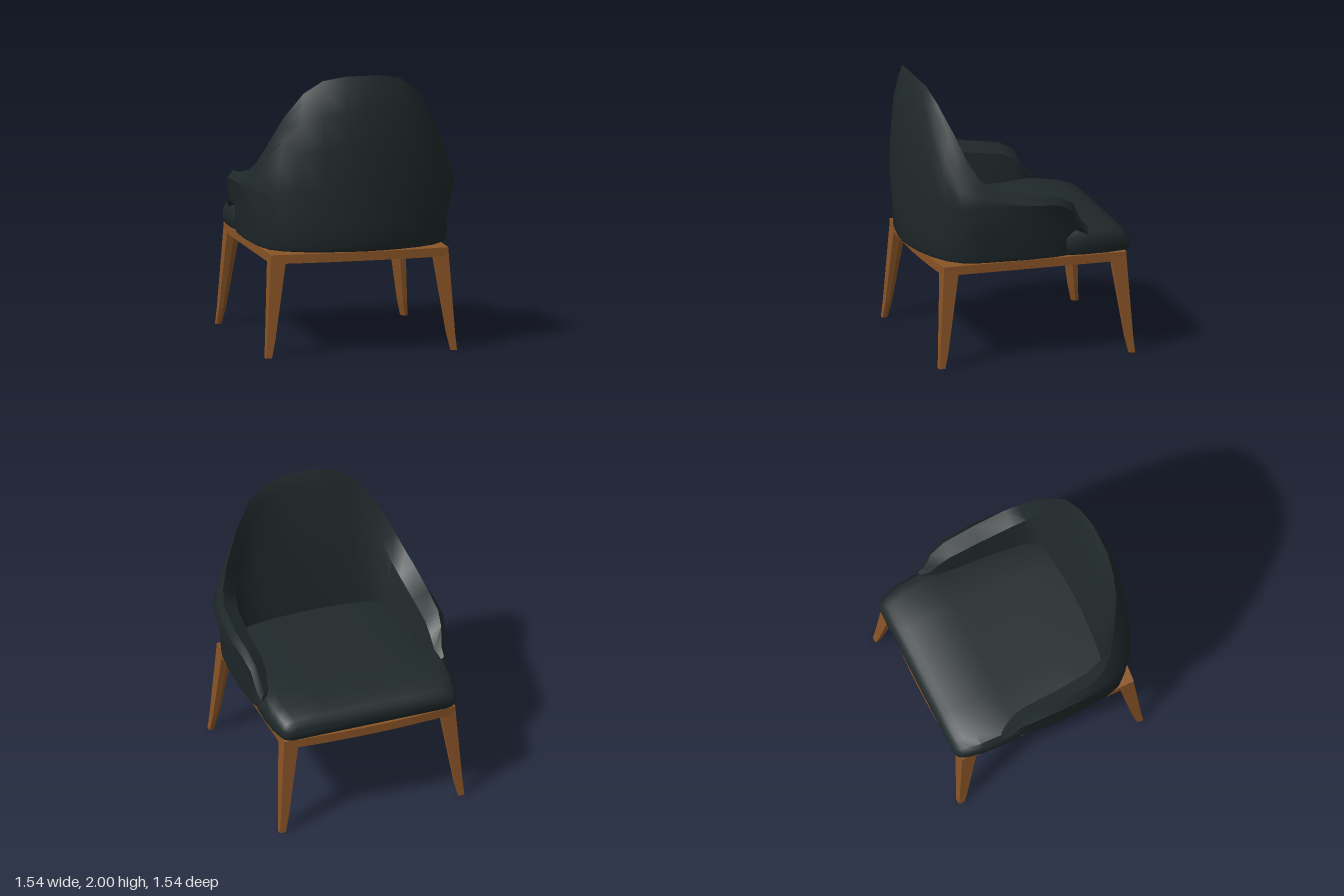
import * as THREE from 'three';
import { toCreasedNormals } from 'three/addons/utils/BufferGeometryUtils.js';

const fabric = new THREE.MeshStandardMaterial({ color: 0x20292b });
const wood = new THREE.MeshStandardMaterial({ color: 0x8b5527, flatShading: true });

// Skins a row of closed rings ([x, y, z] points), caps both ends and turns faces outward.
function loft(rings, crease) {
  const n = rings[0].length;
  const pos = rings.flat();
  const idx = [];
  for (let i = 0; i < rings.length - 1; i++) {
    for (let j = 0; j < n; j++) {
      const a = i * n + j, b = i * n + (j + 1) % n;
      idx.push(a, b, b + n, a, b + n, a + n);
    }
  }
  [0, rings.length - 1].forEach((r, end) => {
    const c = pos.length;
    pos.push([0, 1, 2].map(k => rings[r].reduce((s, p) => s + p[k], 0) / n));
    for (let j = 0; j < n; j++) {
      const a = r * n + j, b = r * n + (j + 1) % n;
      if (end) idx.push(a, b, c); else idx.push(b, a, c);
    }
  });
  const v = pos.map(p => new THREE.Vector3(...p));
  let volume = 0;
  for (let i = 0; i < idx.length; i += 3) {
    volume += v[idx[i]].dot(v[idx[i + 1]].clone().cross(v[idx[i + 2]]));
  }
  if (volume < 0) idx.reverse();
  const g = new THREE.BufferGeometry().setFromPoints(v);
  g.setIndex(idx);
  g.computeVertexNormals();
  return crease ? toCreasedNormals(g, crease) : g;
}

function addMesh(group, name, geometry, material) {
  const mesh = new THREE.Mesh(geometry, material);
  mesh.name = name;
  group.add(mesh);
}

// Half of the wrap-around shell, from arm tip to middle of the back.
const rim = [ // x, y, z of the top edge
  [0.68, 0.96, -0.42], [0.68, 1.01, -0.37], [0.70, 1.14, -0.31], [0.72, 1.2, -0.2],
  [0.73, 1.23, 0.03], [0.72, 1.29, 0.28], [0.69, 1.36, 0.37], [0.635, 1.49, 0.45],
  [0.54, 1.69, 0.53], [0.41, 1.88, 0.61], [0.28, 1.97, 0.65], [0.12, 2, 0.68], [0, 2, 0.68],
];
const girth = [ // x, z of the widest outer line
  [0.70, -0.42], [0.715, -0.36], [0.735, -0.3], [0.76, -0.2], [0.77, 0.03], [0.758, 0.28],
  [0.747, 0.4], [0.71, 0.52], [0.62, 0.615], [0.48, 0.685], [0.3, 0.735], [0.14, 0.76], [0, 0.77],
];
const lip = [ // x, y, z of the inner top edge
  [0.66, 0.94, -0.42], [0.63, 0.99, -0.36], [0.62, 1.08, -0.3], [0.62, 1.14, -0.2],
  [0.62, 1.17, 0.03], [0.61, 1.22, 0.28], [0.59, 1.28, 0.39], [0.55, 1.42, 0.48],
  [0.47, 1.6, 0.56], [0.36, 1.79, 0.61], [0.24, 1.88, 0.625], [0.1, 1.91, 0.635], [0, 1.91, 0.635],
];
const foot = [ // x, z where the inside meets the seat
  [0.65, -0.42], [0.61, -0.35], [0.6, -0.29], [0.59, -0.2], [0.58, 0.03], [0.56, 0.25],
  [0.545, 0.36], [0.52, 0.42], [0.46, 0.455], [0.34, 0.47], [0.22, 0.48], [0.1, 0.488], [0, 0.49],
];

function shellRing(i) {
  const [rx, ry, rz] = rim[i], [gx, gz] = girth[i], [fx, fz] = foot[i];
  const gy = Math.min(1.17, ry - 0.05);
  const bx = gx * 0.925, bz = gz * 0.975;
  const upper = [0.4, 0.7, 0.91].map(f => [
    gx + (rx - gx) * f, gy + (ry - gy) * f, gz + (rz - gz) * f ** 4,
  ]);
  return [
    [fx, 0.745, fz], [bx * 0.95, 0.745, bz * 0.95], [bx * 0.985, 0.755, bz * 0.98],
    [bx, 0.79, bz], [bx, Math.min(0.94, gy - 0.04), bz * 1.01], [gx, gy, gz],
    ...upper, rim[i], lip[i],
    [(lip[i][0] + fx) / 2, (lip[i][1] + 0.9) / 2, (lip[i][2] + fz) / 2 + 0.01],
    [fx, 0.9, fz],
  ];
}

// Seat cross-section at depth z: half width w, underside lo, top hi.
function seatRing([z, w, lo, hi]) {
  const h = hi - lo;
  const half = [
    [w - 0.06, lo], [w - 0.015, lo + h * 0.08], [w, lo + h * 0.25], [w, lo + h * 0.65],
    [w - 0.03, lo + h * 0.87], [w - 0.1, hi - h * 0.03], [w * 0.5, hi],
  ];
  return [...half, ...half.slice().reverse().map(([x, y]) => [-x, y])].map(([x, y]) => [x, y, z]);
}

export function createModel() {
  const chair = new THREE.Group();
  chair.name = 'armchair';

  // Upholstered back and arms in one sweep
  const halfShell = rim.map((_, i) => shellRing(i));
  const otherHalf = halfShell.slice(0, -1).reverse().map(r => r.map(([x, y, z]) => [-x, y, z]));
  addMesh(chair, 'backAndArms', loft([...halfShell, ...otherHalf], 0.6), fabric);

  // Seat cushion with a rounded front edge
  const seat = [
    [-0.76, 0.6, 0.77, 0.835], [-0.745, 0.635, 0.745, 0.865], [-0.715, 0.655, 0.735, 0.89],
    [-0.67, 0.67, 0.735, 0.91], [-0.58, 0.69, 0.735, 0.935], [-0.42, 0.7, 0.738, 0.958],
    [-0.3, 0.695, 0.74, 0.957], [-0.2, 0.67, 0.742, 0.955], [0.1, 0.65, 0.745, 0.95],
    [0.35, 0.62, 0.745, 0.945], [0.52, 0.55, 0.745, 0.94],
  ];
  addMesh(chair, 'seat', loft(seat.map(seatRing), 0.7), fabric);

  // Wooden base, gently bowed at front and back
  const base = new THREE.Group();
  base.name = 'base';
  base.position.set(-0.005, 0, -0.047);
  chair.add(base);
  const outline = new THREE.Shape();
  outline.moveTo(-0.647, -0.675);
  outline.quadraticCurveTo(0, -0.735, 0.647, -0.675);
  outline.lineTo(0.647, 0.675);
  outline.quadraticCurveTo(0, 0.735, -0.647, 0.675);
  const frame = new THREE.ExtrudeGeometry(outline, { depth: 0.064, bevelEnabled: false, curveSegments: 8 });
  frame.rotateX(-Math.PI / 2).translate(0, 0.668, 0);
  addMesh(base, 'seatFrame', frame, wood);

  // Splayed, tapered legs with a chamfered inner corner
  const legLevels = [[0.7, 0.648, 0.112], [0.12, 0.686, 0.06], [0, 0.697, 0.044]]; // y, outer edge, size
  for (const sx of [-1, 1]) {
    for (const sz of [-1, 1]) {
      const rings = legLevels.map(([y, o, s]) => [
        [0, 0], [s, 0], [s, s * 0.5], [s * 0.5, s], [0, s],
      ].map(([dx, dz]) => [sx * (o - dx), y, sz * (o + 0.027 - dz)]));
      const name = (sz < 0 ? 'seatSide' : 'backSide') + (sx > 0 ? 'LeftLeg' : 'RightLeg');
      addMesh(base, name, loft(rings), wood);
    }
  }
  return chair;
}
